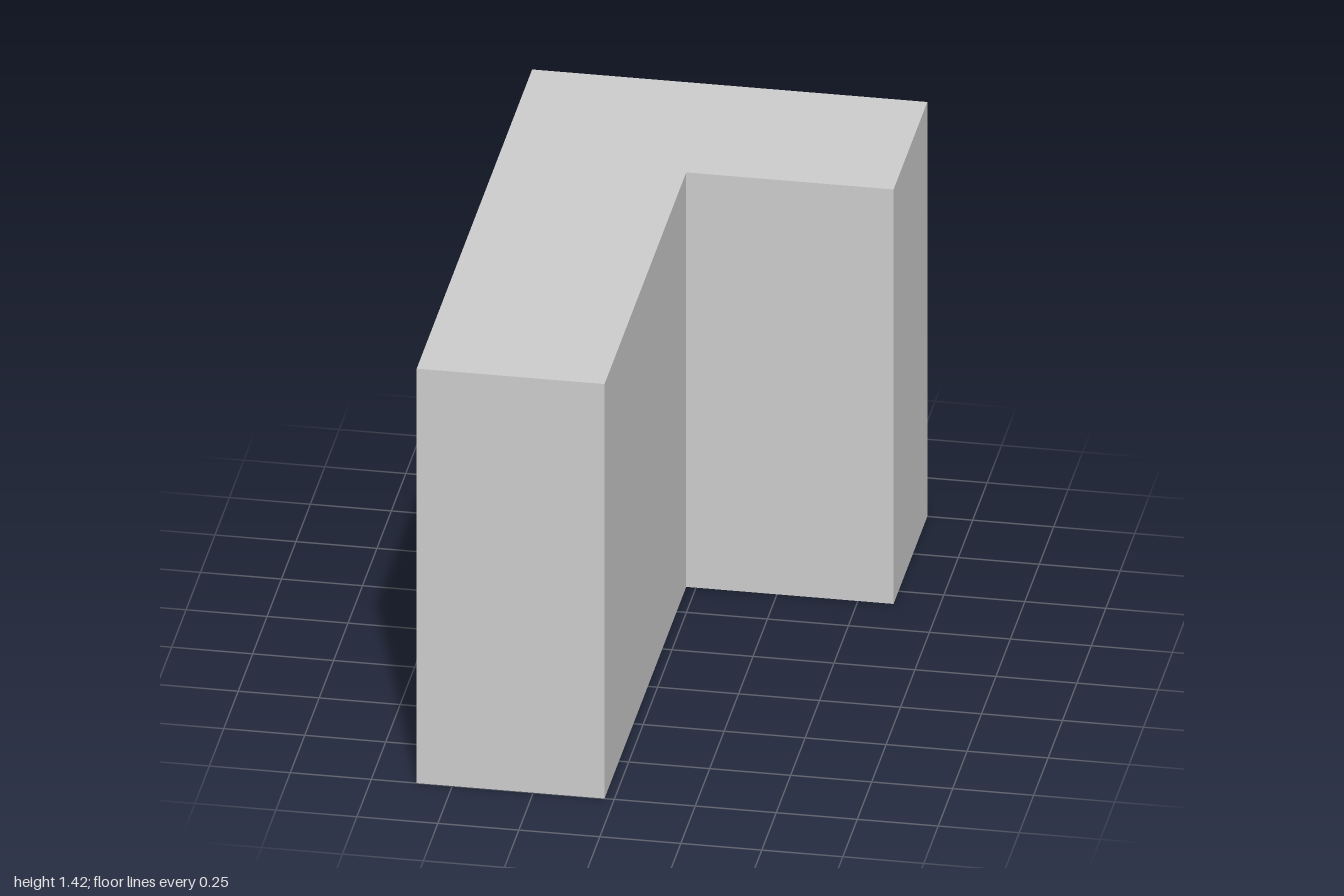
import * as THREE from 'three';

const HEIGHT = 1.42, X = 0.61, Z = 1;
const INNER_X = -0.03, INNER_Z = -0.415; // inside corner of the L
const BOARD = 0.03, RECESS = 0.02;       // rim width and depth of the inset backs

const material = new THREE.MeshStandardMaterial({ color: 0xcccccc, flatShading: true });

const outline = (points) => new THREE.Shape(points.map(([x, y]) => new THREE.Vector2(x, y)));
const rectangle = (a, b, low, high) => [[a, low], [b, low], [b, high], [a, high]];
const extrude = (shape, depth) => new THREE.ExtrudeGeometry(shape, { depth, bevelEnabled: false });

// Full-height rim from a to b, with an opening from holeA to holeB
function rim(a, b, holeA, holeB) {
  const shape = outline(rectangle(a, b, 0, HEIGHT));
  shape.holes.push(outline(rectangle(holeA, holeB, BOARD, HEIGHT - BOARD)));
  return extrude(shape, RECESS);
}

export function createModel() {
  const group = new THREE.Group();
  const add = (name, geometry) => {
    const mesh = new THREE.Mesh(geometry, material);
    mesh.name = name;
    group.add(mesh);
  };

  // L-shaped cabinet body, drawn in plan; its outer faces are the recessed backs
  const x0 = -X + RECESS, z0 = -Z + RECESS;
  const plan = [[x0, Z], [INNER_X, Z], [INNER_X, INNER_Z], [X, INNER_Z], [X, z0], [x0, z0]];
  const body = extrude(outline(plan.map(([x, z]) => [x, -z])), HEIGHT);
  add('cabinetBody', body.rotateX(-Math.PI / 2));

  // Rim around the back panel of the short wing
  add('backRim', rim(-X, X, -X + BOARD, X - BOARD).translate(0, 0, -Z));

  // Rim around the back panel of the long wing, plus the plain corner stretch
  const side = rim(z0, Z, INNER_Z + BOARD, Z - BOARD);
  add('sideRim', side.rotateY(-Math.PI / 2).translate(x0, 0, 0));

  return group;
}
